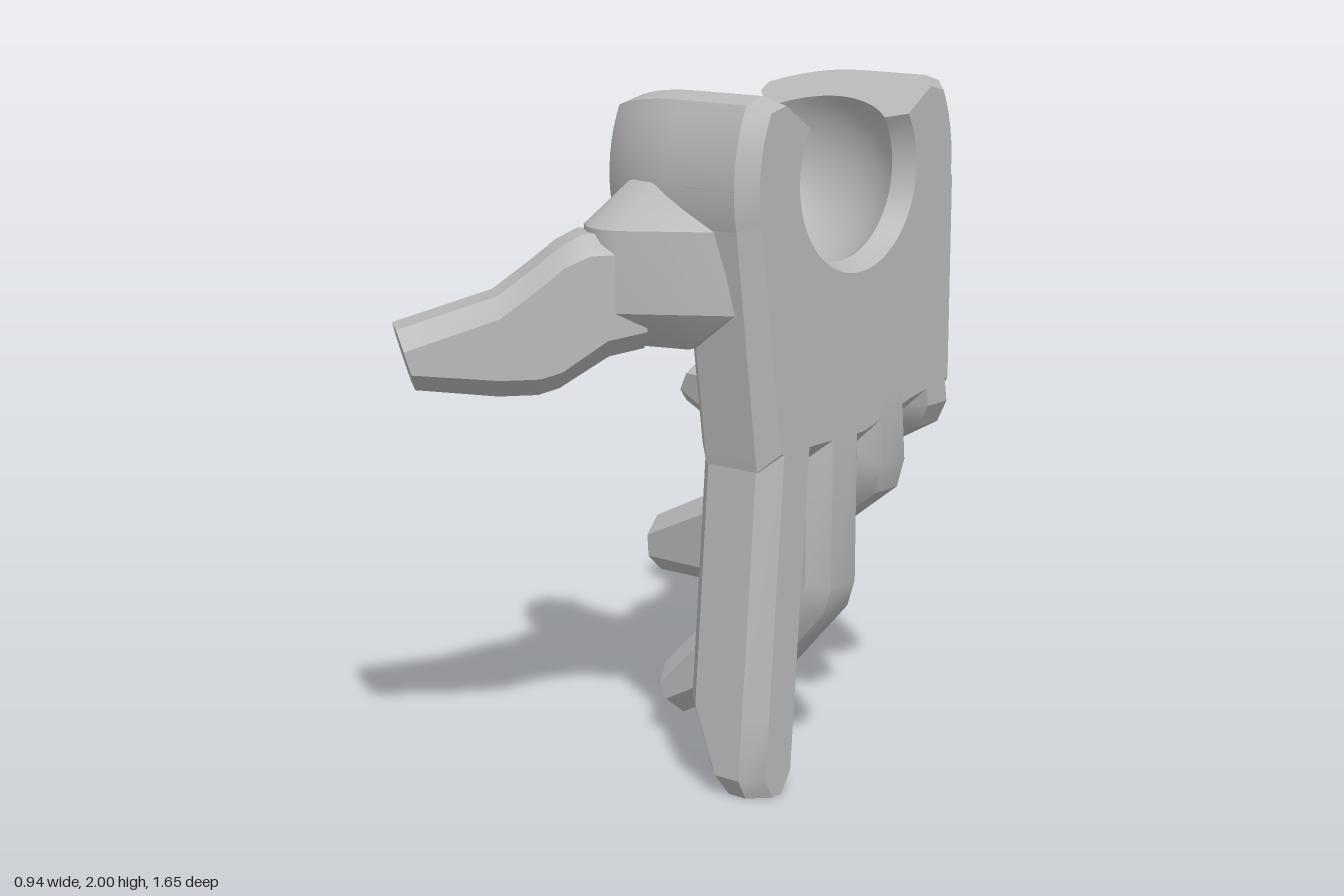
import * as THREE from 'three';
import { toCreasedNormals } from 'three/addons/utils/BufferGeometryUtils.js';
import { ConvexGeometry } from 'three/addons/geometries/ConvexGeometry.js';

const CREASE = 0.5;

// Capped solid through rings of 3D points; loop2d is the flat ring used for the caps.
function loft(rings, loop2d) {
  const n = loop2d.length;
  if (THREE.ShapeUtils.isClockWise(loop2d)) {
    loop2d = [...loop2d].reverse();
    rings = rings.map((r) => [...r].reverse());
  }
  const tris = [];
  for (let i = 0; i < rings.length - 1; i++) {
    for (let j = 0; j < n; j++) {
      const k = (j + 1) % n;
      const a = rings[i][j], b = rings[i][k], c = rings[i + 1][k], d = rings[i + 1][j];
      tris.push([a, b, c], [a, c, d]);
    }
  }
  const first = rings[0], last = rings[rings.length - 1];
  for (const [a, b, c] of THREE.ShapeUtils.triangulateShape(loop2d, [])) {
    tris.push([first[c], first[b], first[a]], [last[a], last[b], last[c]]);
  }
  // A negative volume means the solid is inside out.
  const cross = new THREE.Vector3();
  let volume = 0;
  for (const [a, b, c] of tris) volume += a.dot(cross.crossVectors(b, c));
  if (volume < 0) tris.forEach((t) => t.reverse());
  const geo = new THREE.BufferGeometry().setFromPoints(tris.flat());
  return toCreasedNormals(geo, CREASE);
}

// Finger with chamfered section. Stations: [innerX, innerY, outerX, outerY, halfWidth?].
function fingerGeometry(stations, zAt, halfWidth, chamfer = 0.055) {
  const section = (len, w) => {
    const c = chamfer;
    return [[0, c - w], [c, -w], [len - c, -w], [len, c - w], [len, w - c], [len - c, w], [c, w], [0, w - c]];
  };
  const rings = stations.map(([ix, iy, ox, oy, w = halfWidth]) => {
    const len = Math.hypot(ox - ix, oy - iy);
    return section(len, w).map(([t, z]) => {
      const y = iy + ((oy - iy) * t) / len;
      return new THREE.Vector3(ix + ((ox - ix) * t) / len, y, z + zAt(y));
    });
  });
  return loft(rings, section(0.27, halfWidth).map((p) => new THREE.Vector2(...p)));
}

// C-shaped ball socket swept about the x axis, open at the top.
function socketGeometry(cx, cy, cz) {
  const profile = [[0.47, 0.28]];
  for (let i = 0; i <= 12; i++) {
    const x = 0.215 - (0.43 * i) / 12;
    profile.push([cx + x, Math.sqrt(0.333 ** 2 - x * x)]);
  }
  profile.push([-0.1, 0.33]);
  const outerStart = profile.length;
  for (let i = 0; i <= 10; i++) {
    const x = -0.285 + (0.285 * i) / 10;
    profile.push([cx + x, Math.sqrt(0.51 ** 2 - x * x)]);
  }
  profile.push([0.42, 0.51], [0.47, 0.46]);

  const tip = THREE.MathUtils.degToRad(32.6), full = THREE.MathUtils.degToRad(26.5);
  const ring = (angle, inset) => profile.map(([x, r], i) => {
    const rr = i >= outerStart ? r - inset : r;
    return new THREE.Vector3(x, cy + rr * Math.sin(angle), cz + rr * Math.cos(angle));
  });
  const rings = [ring(tip, 0.05)];
  const steps = 48;
  for (let i = 0; i <= steps; i++) rings.push(ring(full - ((Math.PI + 2 * full) * i) / steps, 0));
  rings.push(ring(-Math.PI - tip, 0.05));
  return loft(rings, profile.map((p) => new THREE.Vector2(...p)));
}

// Palm plate with bevelled rim and a round notch that seats the socket.
function palmGeometry() {
  const s = new THREE.Shape();
  s.moveTo(-0.25, 1.75);
  s.lineTo(-0.235, 1.62);
  s.lineTo(-0.14, 0.95);
  s.lineTo(0.31, 0.95);
  s.lineTo(0.54, 1.01);
  s.lineTo(0.775, 1.05);
  s.lineTo(0.775, 1.75);
  s.lineTo(0.64, 1.75);
  s.absarc(0.26, 1.75, 0.38, 0, Math.PI, true);
  s.closePath();
  const geo = new THREE.ExtrudeGeometry(s, {
    depth: 0.18, bevelEnabled: true, bevelSegments: 1, curveSegments: 32,
    bevelSize: 0.05, bevelOffset: -0.05, bevelThickness: 0.05,
  });
  geo.rotateY(Math.PI / 2);
  geo.translate(0.24, 0, 0);
  return toCreasedNormals(geo, CREASE);
}

// Faceted knuckle block that joins the thumb to the palm.
function knuckleGeometry() {
  const pts = [];
  const add = (y, list) => list.forEach(([x, z]) => pts.push(new THREE.Vector3(x, y, z)));
  add(1.75, [[0.05, 0.25], [0.13, 0.25], [0.05, 0.15], [0.13, 0.15]]);
  add(1.63, [[-0.07, 0.14], [-0.07, 0.27], [-0.04, 0.34], [0.01, 0.38], [0.07, 0.395], [0.12, 0.385], [0.35, 0.23], [0.34, 0.14]]);
  add(1.4, [[-0.04, 0.14], [-0.04, 0.27], [-0.02, 0.34], [0.02, 0.38], [0.07, 0.395], [0.12, 0.385], [0.39, 0.21], [0.38, 0.13]]);
  add(1.29, [[0, 0.14], [0, 0.24], [0.06, 0.27], [0.24, 0.22], [0.24, 0.13]]);
  return toCreasedNormals(new ConvexGeometry(pts), CREASE);
}

export function createModel() {
  const model = new THREE.Group();
  const grey = new THREE.MeshStandardMaterial({ color: 0xb8b8b8 });
  grey.name = 'grey';
  const add = (name, geo) => {
    const mesh = new THREE.Mesh(geo, grey);
    mesh.name = name;
    model.add(mesh);
    return mesh;
  };

  add('palm', palmGeometry());
  add('ballSocket', socketGeometry(0.187, 1.75, -0.26));
  add('thumbKnuckle', knuckleGeometry());

  // Fingers: the first is straight, the others curl progressively toward -x.
  add('indexFinger', fingerGeometry([
    [0.19, 1.02, 0.47, 1.02], [0.19, 0.25, 0.47, 0.25],
    [0.275, 0.06, 0.47, 0.06], [0.3, 0, 0.47, 0, 0.075],
  ], (y) => 0.025 + 0.08 * (0.95 - y), 0.113));

  add('middleFinger', fingerGeometry([
    [0.19, 1.03, 0.47, 1.03], [0.19, 0.66, 0.47, 0.56], [0.18, 0.56, 0.445, 0.48],
    [0.07, 0.44, 0.25, 0.26], [0.04, 0.41, 0.19, 0.215], [-0.15, 0.215, -0.08, 0.07],
  ], () => -0.207, 0.113));

  add('ringFinger', fingerGeometry([
    [0.19, 1.12, 0.47, 1.12], [0.19, 1.03, 0.47, 0.88], [0.17, 1.0, 0.44, 0.79],
    [0, 0.83, 0.19, 0.6], [-0.14, 0.705, -0.04, 0.42],
    [-0.185, 0.69, -0.1, 0.4], [-0.41, 0.58, -0.41, 0.4],
  ], (y) => -0.44 - 0.088 * (1 - y), 0.111));

  add('littleFinger', fingerGeometry([
    [0.19, 1.2, 0.47, 1.2], [0.19, 1.12, 0.47, 1.02], [0.17, 1.11, 0.43, 0.95],
    [0.05, 1.02, 0.17, 0.81], [-0.1, 1.02, -0.03, 0.745], [-0.14, 1.05, -0.18, 0.735],
    [-0.39, 1.06, -0.475, 0.905],
  ], (y) => -0.67 - 0.17 * (1.04 - y), 0.104));

  // Thumb, shaped along its own axis and then swung forward and sideways.
  const thumb = add('thumb', fingerGeometry([
    [-0.1, 1.62, -0.1, 1.29], [0.07, 1.615, 0.0, 1.27], [0.13, 1.585, 0.14, 1.185],
    [0.2, 1.53, 0.2, 1.168], [0.31, 1.45, 0.31, 1.168], [0.59, 1.365, 0.54, 1.195],
  ], () => 0, 0.115));
  thumb.rotation.y = Math.atan2(-0.77, -0.64);
  thumb.position.set(0.02, 0, 0.32);

  return model;
}
